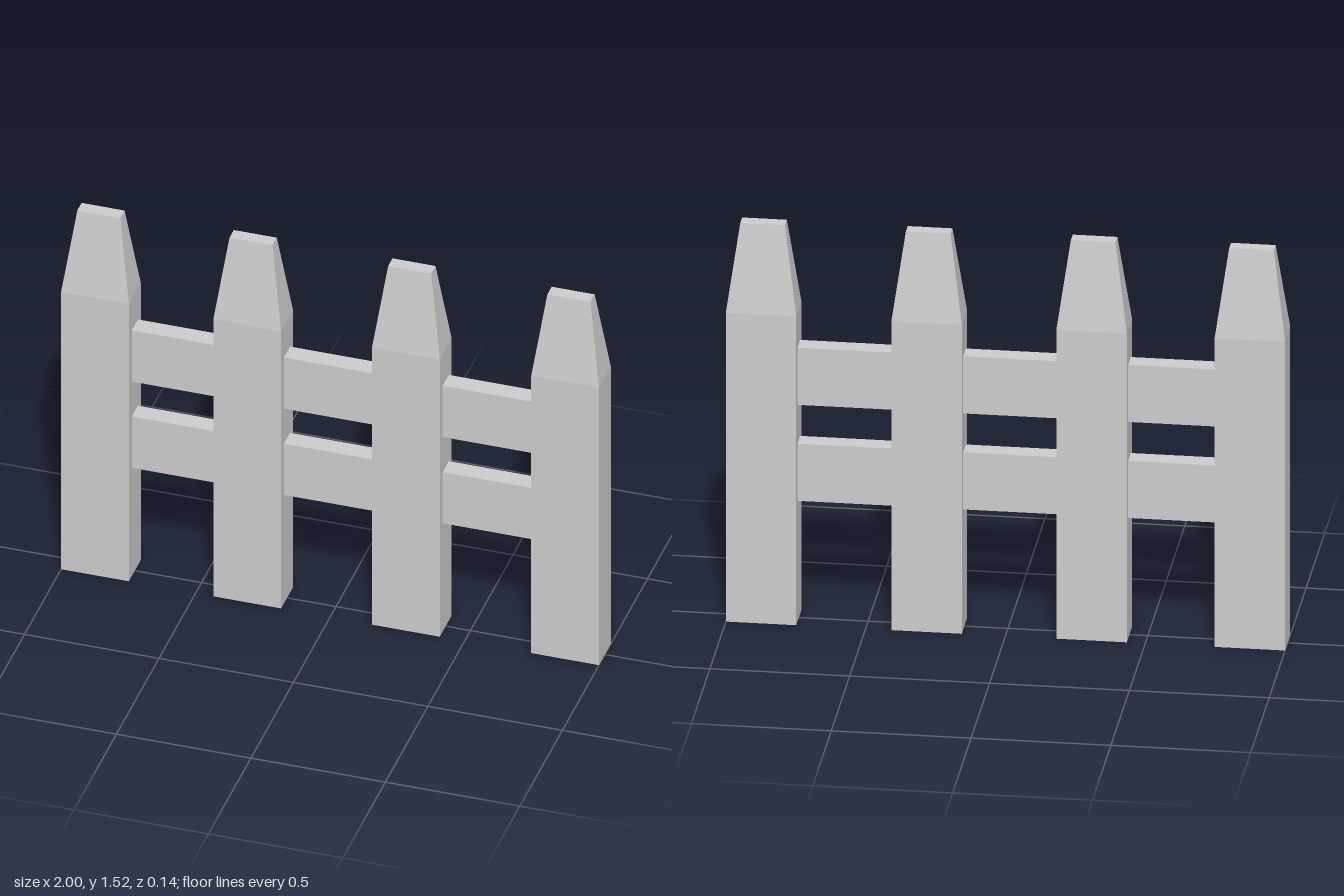
import * as THREE from 'three';

const HEIGHT = 1.52, SHOULDER = 1.19;
const WIDTH = 0.252, DEPTH = 0.14;
const TIP_WIDTH = 0.16, TIP_DEPTH = 0.05;

// Square post whose upper part tapers to a small flat tip
function picketGeometry() {
  const geo = new THREE.BoxGeometry(WIDTH, 2, DEPTH, 1, 2, 1);
  const p = geo.attributes.position;
  for (let i = 0; i < p.count; i++) {
    const level = Math.round(p.getY(i)) + 1; // 0 foot, 1 shoulder, 2 tip
    p.setY(i, [0, SHOULDER, HEIGHT][level]);
    if (level === 2) {
      p.setX(i, Math.sign(p.getX(i)) * TIP_WIDTH / 2);
      p.setZ(i, Math.sign(p.getZ(i)) * TIP_DEPTH / 2);
    }
  }
  geo.computeVertexNormals();
  return geo;
}

export function createModel() {
  const fence = new THREE.Group();
  fence.name = 'picketFence';
  const material = new THREE.MeshStandardMaterial({ color: 0xcccccc, flatShading: true });

  // Upright pickets
  const xs = [-0.874, -0.308, 0.282, 0.874];
  const geo = picketGeometry();
  xs.forEach((x, i) => {
    const picket = new THREE.Mesh(geo, material);
    picket.name = `picket${i + 1}`;
    picket.position.x = x;
    fence.add(picket);
  });

  // Horizontal rails, running through the pickets
  const railGeo = new THREE.BoxGeometry(xs[3] - xs[0], 0.22, 0.072);
  [['lowerRail', 0.575], ['upperRail', 0.945]].forEach(([name, y]) => {
    const rail = new THREE.Mesh(railGeo, material);
    rail.name = name;
    rail.position.y = y;
    fence.add(rail);
  });

  return fence;
}
